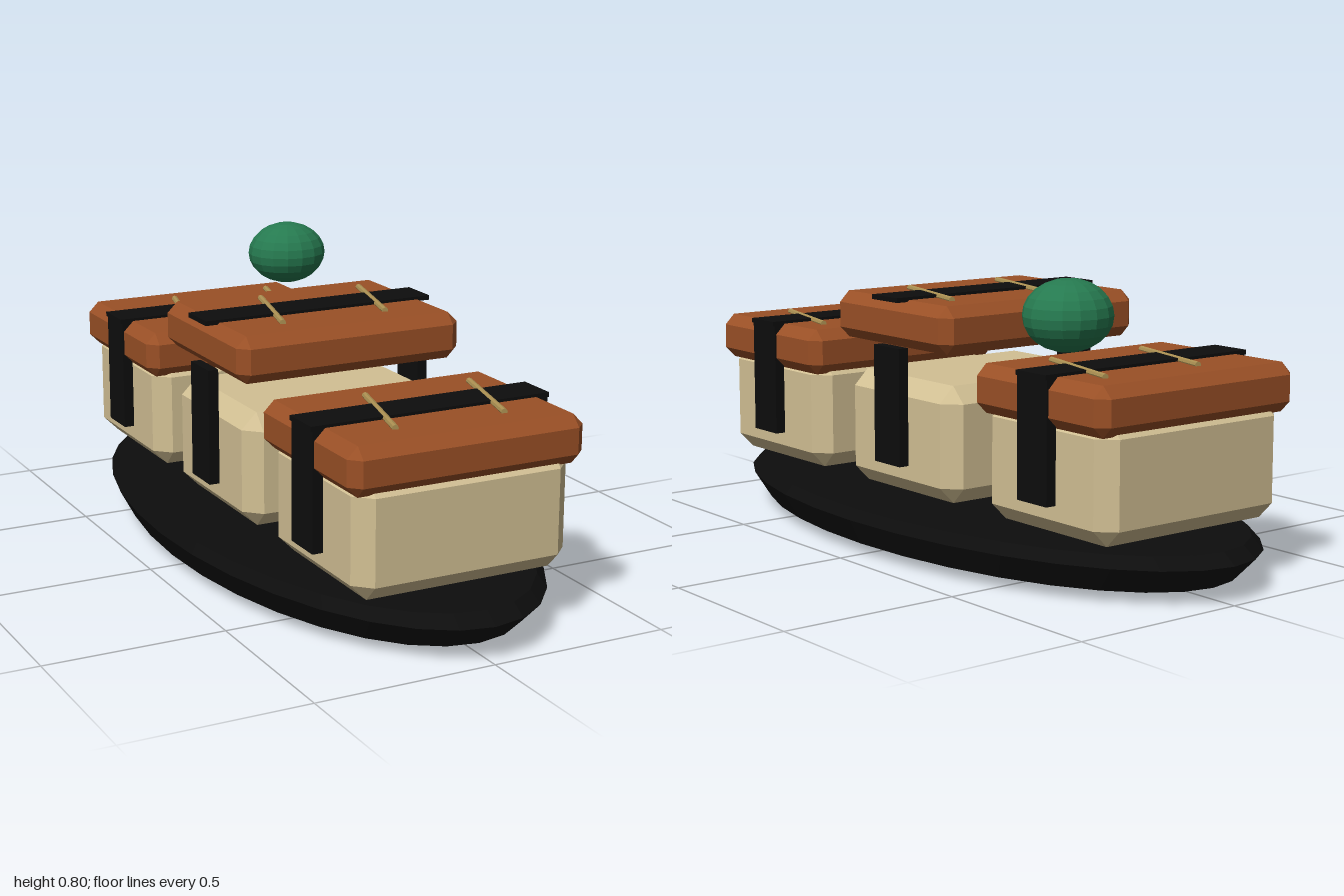
import * as THREE from 'three';
import { ConvexGeometry } from 'three/addons/geometries/ConvexGeometry.js';

function material(name, color) {
  const m = new THREE.MeshStandardMaterial({ color, flatShading: true });
  m.name = name;
  return m;
}

// Box with every edge cut by a flat chamfer
function chamferBox(w, h, d, c) {
  const points = [];
  for (const x of [-w / 2, w / 2])
    for (const y of [-h / 2, h / 2])
      for (const z of [-d / 2, d / 2]) {
        const ix = x - Math.sign(x) * c, iy = y - Math.sign(y) * c, iz = z - Math.sign(z) * c;
        points.push(
          new THREE.Vector3(x, iy, iz),
          new THREE.Vector3(ix, y, iz),
          new THREE.Vector3(ix, iy, z));
      }
  return new ConvexGeometry(points);
}

export function createModel() {
  const model = new THREE.Group();
  model.name = 'sushiPlatter';

  const black = material('black', 0x0d0d0d);
  const rice = material('riceCream', 0xd2c094);
  const fish = material('fishOrange', 0x9a5026);
  const gold = material('gold', 0xab9052);
  const green = material('green', 0x267a50);

  function add(parent, name, geometry, mat, x, y, z) {
    const mesh = new THREE.Mesh(geometry, mat);
    mesh.name = name;
    mesh.position.set(x, y, z);
    parent.add(mesh);
    return mesh;
  }

  // Oval plate
  const profile = [[0, 0], [0.6, 0], [0.925, 0.03], [1, 0.1], [0.96, 0.13], [0, 0.13]]
    .map(([r, y]) => new THREE.Vector2(r, y));
  add(model, 'plate', new THREE.LatheGeometry(profile, 32), black, 0, 0, 0).scale.x = 0.467;

  // Shared shapes for the three pieces
  const riceShape = chamferBox(0.62, 0.32, 0.487, 0.045);
  const fishShape = chamferBox(0.674, 0.13, 0.515, 0.03);
  const bandTopShape = new THREE.BoxGeometry(0.694, 0.013, 0.116);
  const bandSideShape = new THREE.BoxGeometry(0.03, 0.325, 0.116);
  const strandShape = new THREE.CylinderGeometry(0.009, 0.009, 0.305, 8).rotateX(Math.PI / 2);

  // Each piece: its z position and how far the topping is raised
  for (const [z, lift] of [[0.622, 0], [0, 0.13], [-0.622, 0]]) {
    const piece = new THREE.Group();
    piece.name = 'sushiPiece';
    piece.position.z = z;
    model.add(piece);

    add(piece, 'riceBlock', riceShape, rice, 0, 0.315, 0);
    add(piece, 'fishSlice', fishShape, fish, 0, 0.5 + lift, 0);
    add(piece, 'bandTop', bandTopShape, black, 0, 0.5665 + lift, 0);
    for (const side of [-1, 1])
      add(piece, 'bandSide', bandSideShape, black, side * 0.327, 0.4025, 0);
    for (const x of [-0.122, 0.192])
      add(piece, 'garnishStrand', strandShape, gold, x, 0.568 + lift, 0).rotation.y = -0.25;
  }

  // Green garnish ball on the rear piece
  add(model, 'garnishBall', new THREE.SphereGeometry(0.12, 16, 12), green, 0.241, 0.709, -0.64)
    .scale.set(1, 0.775, 0.92);

  return model;
}
